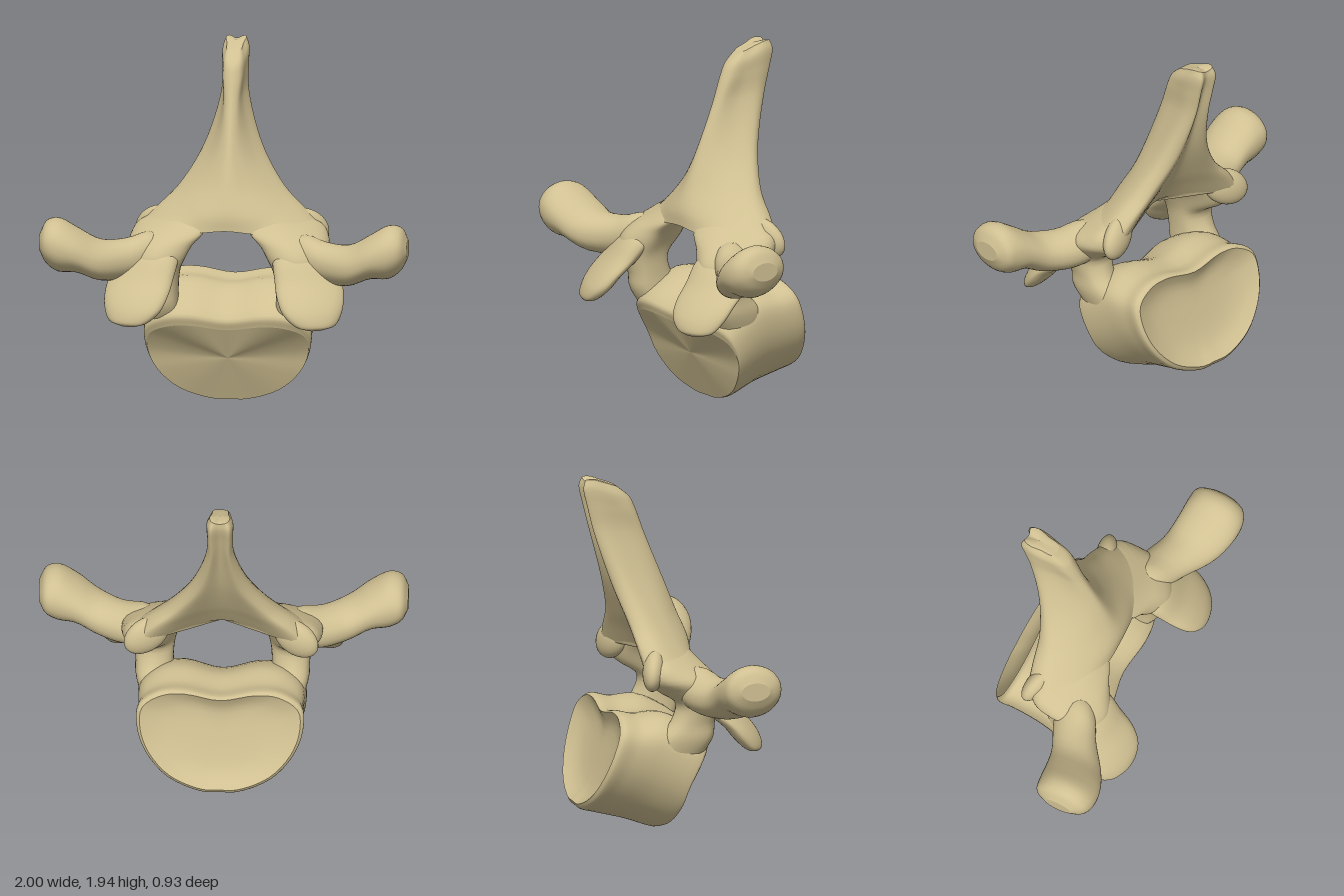
import * as THREE from 'three';

const V = (x, y, z) => new THREE.Vector3(x, y, z);
const bone = new THREE.MeshStandardMaterial({ color: 0xd0c092 });
bone.name = 'bone';

const centroid = (ring) => ring.reduce((s, p) => s.add(p), V(0, 0, 0)).divideScalar(ring.length);

// Smooth closed loft through control rings; ends are capped and may be dished inward.
function loft(controlRings, { around = 40, along = 24, dish = [0, 0] } = {}) {
  const rings = controlRings.map((r) => {
    const curve = new THREE.CatmullRomCurve3(r, true, 'centripetal');
    return Array.from({ length: around }, (_, j) => curve.getPoint(j / around));
  });
  const rails = rings[0].map((_, j) => new THREE.CatmullRomCurve3(rings.map((r) => r[j]), false, 'centripetal'));
  const side = Array.from({ length: along + 1 }, (_, i) => rails.map((c) => c.getPoint(i / along)));

  const cap = (rim, other, depth) => {
    const c = centroid(rim);
    const inward = centroid(other).sub(c).normalize();
    return [0, 0.15, 0.35, 0.55, 0.7, 0.85, 1].map((r) =>
      rim.map((p) => c.clone().lerp(p, r).addScaledVector(inward, depth * (1 - r ** 4))));
  };
  const first = side[0], last = side[along];
  const grids = [cap(first, last, dish[0]), side, cap(last, first, dish[1]).reverse()];

  const pos = [], index = [];
  for (const rows of grids) {
    const base = pos.length / 3;
    rows.forEach((row) => row.forEach((p) => pos.push(p.x, p.y, p.z)));
    for (let i = 0; i < rows.length - 1; i++) {
      for (let j = 0; j < around; j++) {
        const k = (j + 1) % around;
        const a = base + i * around + j, b = base + i * around + k;
        index.push(a, b, b + around, a, b + around, a + around);
      }
    }
  }
  // Turn all faces outward, judged by the enclosed volume.
  const at = (i) => V(pos[3 * i], pos[3 * i + 1], pos[3 * i + 2]);
  let volume = 0;
  for (let i = 0; i < index.length; i += 3) {
    volume += at(index[i]).dot(at(index[i + 1]).cross(at(index[i + 2])));
  }
  if (volume < 0) index.reverse();
  const g = new THREE.BufferGeometry();
  g.setAttribute('position', new THREE.Float32BufferAttribute(pos, 3));
  g.setIndex(index);
  g.computeVertexNormals();
  return g;
}

// Closed symmetric ring from its +x half.
const symmetric = (half) => [
  ...half,
  ...half.slice(1, -1).reverse().map((p) => V(-p.x, p.y, p.z)),
];

const ellipse = (fn, n = 10) =>
  Array.from({ length: n }, (_, i) => fn(Math.cos((i / n) * 2 * Math.PI), Math.sin((i / n) * 2 * Math.PI)));

export function createModel() {
  const model = new THREE.Group();
  model.name = 'vertebra';
  const add = (name, geometry) => {
    const mesh = new THREE.Mesh(geometry, bone);
    mesh.name = name;
    model.add(mesh);
    return mesh;
  };
  // Adds a ring-built part on both sides.
  const addPair = (name, rings) => {
    add(name + 'Left', loft(rings));
    add(name + 'Right', loft(rings.map((r) => r.map((p) => V(-p.x, p.y, p.z)))));
  };

  // Vertebral body: heart-shaped sections from the front face to the dished rear face.
  const heart = [[0, 0], [0.1, 0.005], [0.28, 0.14], [0.4, 0.38], [0.45, 0.63],
    [0.44, 0.85], [0.33, 0.98], [0.2, 1], [0, 0.94]];
  const bodySections = [ // bottom z, bottom y, top z, top y, width, hollowing
    [-0.015, 0.012, 0.2, 0.46, 0.97, 0.05], [-0.04, 0.01, 0.21, 0.52, 1, 0.045],
    [-0.2, 0.065, -0.02, 0.67, 0.99, 0.02], [-0.37, 0.11, -0.18, 0.67, 0.98, 0],
    [-0.45, 0.135, -0.27, 0.69, 1, 0], [-0.465, 0.16, -0.295, 0.68, 0.96, 0],
  ];
  add('body', loft(bodySections.map(([bz, by, tz, ty, w, hollow]) =>
    symmetric(heart.map(([x, v]) =>
      V(x * w, by + (ty - by) * v, bz + (tz - bz) * v - hollow * Math.sin(Math.PI * v * v))))),
  { around: 64, dish: [0, 0.06] }));

  // Spine blade widening down into the roof of the arch.
  // Each row: front ridge, shoulder, flank, outer edge, rear edge, rear hollow.
  const spine = [
    [[0, 1.895, -0.22], [0.035, 1.9, -0.23], [0.045, 1.925, -0.3], [0.055, 1.945, -0.36], [0.04, 1.945, -0.4], [0, 1.93, -0.395]],
    [[0, 1.83, -0.145], [0.04, 1.835, -0.165], [0.062, 1.86, -0.25], [0.07, 1.9, -0.36], [0.05, 1.9, -0.415], [0, 1.89, -0.395]],
    [[0, 1.77, -0.115], [0.045, 1.77, -0.14], [0.06, 1.78, -0.23], [0.07, 1.8, -0.34], [0.05, 1.8, -0.395], [0, 1.8, -0.37]],
    [[0, 1.62, -0.06], [0.035, 1.63, -0.085], [0.055, 1.65, -0.19], [0.075, 1.66, -0.31], [0.05, 1.66, -0.36], [0, 1.66, -0.33]],
    [[0, 1.4, 0.03], [0.05, 1.4, 0], [0.115, 1.39, -0.1], [0.16, 1.38, -0.22], [0.11, 1.38, -0.275], [0, 1.38, -0.24]],
    [[0, 1.2, 0.11], [0.1, 1.2, 0.07], [0.21, 1.19, -0.02], [0.29, 1.17, -0.14], [0.24, 1.17, -0.21], [0, 1.17, -0.14]],
    [[0, 1.06, 0.165], [0.15, 1.05, 0.14], [0.31, 1.05, 0.04], [0.41, 1.05, -0.1], [0.36, 1.05, -0.19], [0, 1.07, -0.08]],
    [[0, 0.98, 0.17], [0.16, 0.965, 0.16], [0.38, 0.95, 0.11], [0.52, 0.94, -0.08], [0.45, 0.94, -0.175], [0, 0.99, -0.03]],
  ];
  add('spineBlade', loft(spine.map((r) => symmetric(r.map((p) => V(...p)))), { around: 72, along: 42, dish: [-0.008, 0] }));

  // Arch sides and pedicles: rings of x, z at falling heights.
  const arch = [
    [1.05, [[0.14, 0.09], [0.22, 0.08], [0.3, 0], [0.34, -0.08], [0.3, -0.12], [0.16, 0.02]]],
    [0.97, [[0.13, 0.155], [0.3, 0.155], [0.45, 0.05], [0.51, -0.08], [0.43, -0.165], [0.17, 0.02]]],
    [0.9, [[0.19, 0.175], [0.36, 0.23], [0.52, 0.12], [0.53, -0.08], [0.42, -0.165], [0.23, 0.02]]],
    [0.83, [[0.23, 0.19], [0.38, 0.27], [0.52, 0.18], [0.5, -0.01], [0.39, -0.1], [0.26, 0.03]]],
    [0.75, [[0.27, 0.2], [0.38, 0.26], [0.5, 0.2], [0.47, 0.05], [0.37, 0.01], [0.27, 0.06]]],
    [0.65, [[0.28, 0.19], [0.36, 0.23], [0.46, 0.18], [0.46, 0.03], [0.38, -0.02], [0.28, 0.04]]],
    [0.56, [[0.28, 0.18], [0.36, 0.22], [0.455, 0.17], [0.455, -0.03], [0.38, -0.1], [0.28, 0]]],
    [0.44, [[0.27, 0.11], [0.36, 0.15], [0.42, 0.1], [0.43, -0.04], [0.38, -0.12], [0.28, -0.04]]],
  ];
  addPair('archSide', arch.map(([y, r]) => r.map(([x, z]) => V(x, y, z))));

  // Side wings: x, centre y, centre z, half height, half depth.
  const wing = [[0.3, 0.87, 0.1, 0.04, 0.04], [0.42, 0.85, 0.11, 0.11, 0.11],
    [0.54, 0.82, 0.155, 0.11, 0.13], [0.68, 0.825, 0.235, 0.11, 0.15], [0.8, 0.885, 0.275, 0.12, 0.165],
    [0.9, 0.915, 0.285, 0.145, 0.165], [0.965, 0.93, 0.28, 0.115, 0.145], [1, 0.93, 0.28, 0.05, 0.08]];
  addPair('sideWing', wing.map(([x, y, z, ry, rz]) =>
    ellipse((c, s) => V(x, y + ry * c, z + rz * s))));

  // Front joint plates: y, centre x, centre z, half width, half depth.
  const frontJoint = [[0.92, 0.37, 0.11, 0.05, 0.04], [0.85, 0.4, 0.15, 0.14, 0.1],
    [0.74, 0.45, 0.23, 0.175, 0.095], [0.65, 0.475, 0.32, 0.175, 0.08], [0.58, 0.49, 0.37, 0.155, 0.075],
    [0.52, 0.51, 0.405, 0.105, 0.05], [0.5, 0.51, 0.42, 0.04, 0.02]];
  addPair('frontJoint', frontJoint.map(([y, x, z, rx, rz]) =>
    ellipse((c, s) => V(x + rx * c, y, z + rz * s - rx * c * 0.3))));

  // Rear joint lobes: flattened, set into the lower edge of the roof.
  for (const side of [1, -1]) {
    const lobe = add(side > 0 ? 'rearJointLeft' : 'rearJointRight', new THREE.SphereGeometry(1, 28, 18));
    lobe.scale.set(0.135, 0.1, 0.06);
    lobe.position.set(side * 0.405, 0.95, -0.125);
    lobe.rotation.set(0.1, side * 0.3, side * -0.55);
  }
  return model;
}
